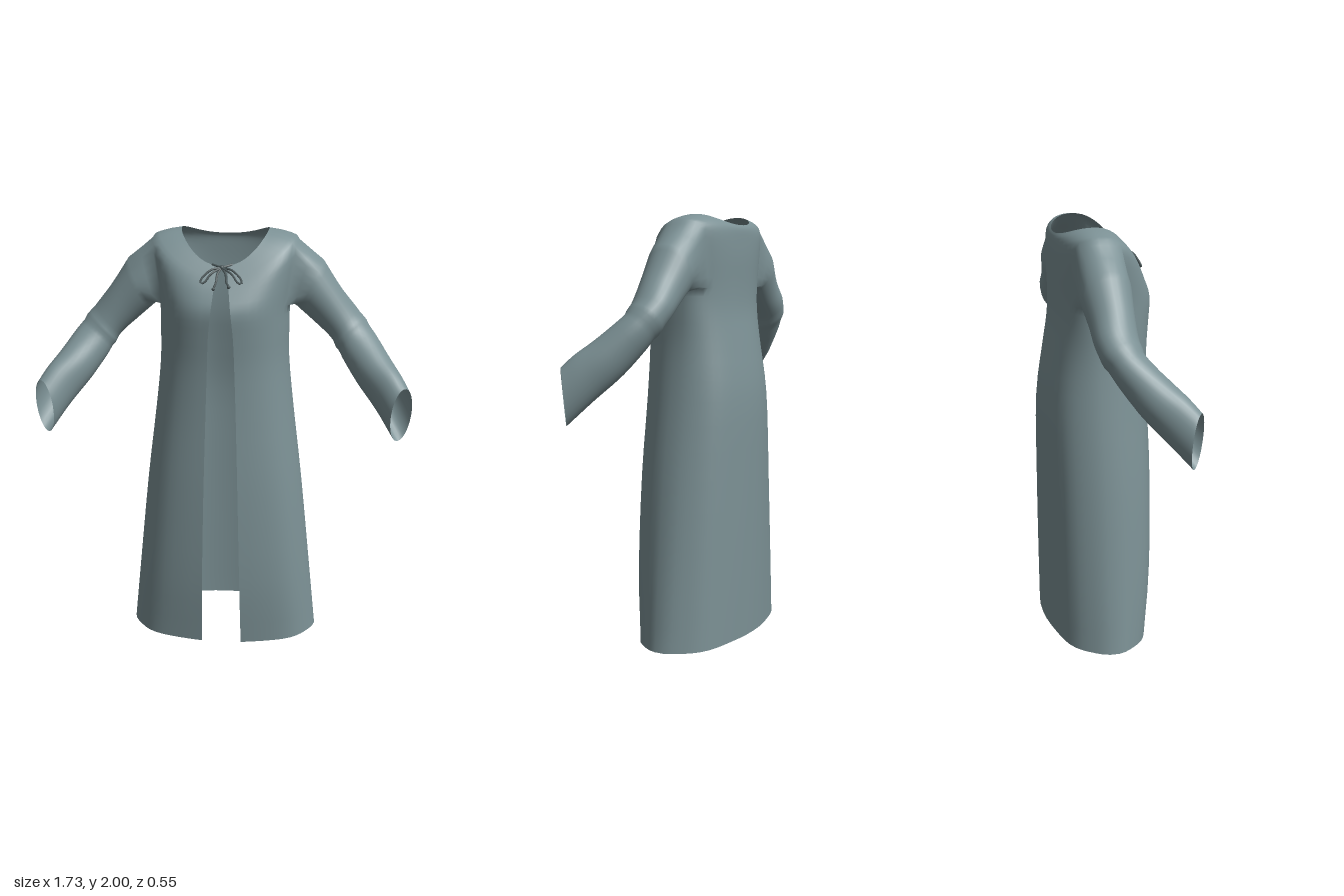
import * as THREE from 'three';

const v = (x, y, z) => new THREE.Vector3(x, y, z);
const spline = (pts) => new THREE.CatmullRomCurve3(pts.map((p) => v(...p)), false, 'catmullrom', 0.5);

// Coat body levels, hem to neckline: [yFront, ySide, yBack], [halfWidth, halfGap, zSide], [zFront, zBack, 0]
const LEVELS = [
  [[0.0, 0.01, 0.02], [0.455, 0.097, -0.01], [0.215, -0.27, 0]],
  [[0.35, 0.35, 0.35], [0.42, 0.09, -0.01], [0.248, -0.274, 0]],
  [[0.8, 0.8, 0.8], [0.372, 0.08, -0.01], [0.25, -0.277, 0]],
  [[1.16, 1.16, 1.16], [0.327, 0.07, -0.02], [0.235, -0.274, 0]],
  [[1.4, 1.4, 1.4], [0.302, 0.062, -0.03], [0.23, -0.24, 0]],
  [[1.55, 1.56, 1.55], [0.3, 0.056, -0.04], [0.238, -0.214, 0]],
  [[1.66, 1.67, 1.67], [0.302, 0.045, -0.05], [0.243, -0.208, 0]],
  [[1.73, 1.82, 1.8], [0.325, 0.037, -0.055], [0.215, -0.21, 0]],
  [[1.79, 1.95, 1.89], [0.338, 0.03, -0.06], [0.18, -0.207, 0]],
  [[1.83, 1.985, 1.935], [0.28, 0.026, -0.06], [0.155, -0.203, 0]],
  [[1.86, 2.0, 1.955], [0.2, 0.024, -0.06], [0.135, -0.193, 0]],
];

// Sleeve rings, shoulder to cuff: centre, upward half axis, rearward/outer half axis
const RINGS = [
  [[0.395, 1.75, -0.055], [0.055, 0.11, 0], [0, 0, -0.113]],
  [[0.475, 1.655, -0.05], [0.056, 0.083, 0], [0, 0, -0.1]],
  [[0.553, 1.57, -0.045], [0.057, 0.067, 0], [0.015, 0, -0.096]],
  [[0.61, 1.492, -0.012], [0.058, 0.064, 0.02], [0.045, 0, -0.08]],
  [[0.69, 1.38, 0.075], [0.043, 0.074, 0.045], [0.064, 0, -0.058]],
  [[0.76, 1.295, 0.155], [0.024, 0.1, 0.03], [0.057, 0, -0.046]],
  [[0.815, 1.215, 0.225], [0.004, 0.125, 0.01], [0.05, 0.01, -0.04]],
];

const COLS = 48, SUB = 3, ROWS = (LEVELS.length - 1) * SUB;
const HOLE = { r0: 18, r1: 24, c0: 9, c1: 17 }; // armhole cells on the left side
const SLEEVE_STEPS = 30;

// One continuous shell, so the sleeves blend into the body with shared normals
function buildCoat() {
  const pos = [], bodyIndex = [];
  const add = (p) => pos.push(p.x, p.y, p.z) / 3 - 1;
  const at = (r, c) => r * (COLS + 1) + c;
  const quad = (list, a, b, c, d, flip) =>
    flip ? list.push(a, c, b, a, d, c) : list.push(a, b, c, a, c, d);

  // Body, open down the front
  const [heights, widths, depths] = [0, 1, 2].map((n) => spline(LEVELS.map((l) => l[n])));
  const power = 0.88;
  for (let r = 0; r <= ROWS; r++) {
    const t = r / ROWS;
    const h = heights.getPoint(t), w = widths.getPoint(t), d = depths.getPoint(t);
    const start = Math.asin(Math.pow(w.y / w.x, 1 / power));
    const ripple = 0.012 * Math.max(0, 1 - t * 2);
    for (let c = 0; c <= COLS; c++) {
      const phi = start + (c / COLS) * (2 * Math.PI - 2 * start);
      const s = Math.sin(phi), k = Math.cos(phi);
      const fold = 1 + ripple * Math.cos(8 * phi);
      const sx = Math.sign(s) * Math.pow(Math.abs(s), power);
      const kz = Math.sign(k) * Math.pow(Math.abs(k), power);
      const reach = k > 0 ? d.x - w.z : w.z - d.y;
      const y = h.y * s * s + (k > 0 ? h.x : h.z) * k * k;
      add(v(w.x * sx * (c % COLS ? fold : 1), y, w.z + reach * kz * fold));
    }
  }
  const inHole = (r, c) => r >= HOLE.r0 && r < HOLE.r1 && c >= HOLE.c0 && c < HOLE.c1;
  for (let r = 0; r < ROWS; r++) {
    for (let c = 0; c < COLS; c++) {
      if (inHole(r, c) || inHole(r, COLS - 1 - c)) continue;
      quad(bodyIndex, at(r, c), at(r, c + 1), at(r + 1, c + 1), at(r + 1, c));
    }
  }

  // Armhole rim, from the top middle towards the back
  const rim = [];
  const { r0, r1, c0, c1 } = HOLE, mid = (c0 + c1) / 2;
  for (let c = mid; c < c1; c++) rim.push([r1, c]);
  for (let r = r1; r > r0; r--) rim.push([r, c1]);
  for (let c = c1; c > c0; c--) rim.push([r0, c]);
  for (let r = r0; r < r1; r++) rim.push([r, c0]);
  for (let c = c0; c < mid; c++) rim.push([r1, c]);

  // Sleeves grow out of the rims
  const [centre, up, side] = [0, 1, 2].map((n) => spline(RINGS.map((l) => l[n])));
  const sleeve = (sign) => {
    const index = [];
    const first = rim.map(([r, c]) => at(r, sign > 0 ? c : COLS - c));
    const ringPoint = (t, k) => {
      const a = (k / rim.length) * Math.PI * 2;
      const crease = 1 + 0.05 * Math.exp(-Math.pow((t - 0.42) / 0.025, 2))
        - 0.03 * Math.exp(-Math.pow((t - 0.48) / 0.03, 2));
      const p = centre.getPoint(t)
        .addScaledVector(up.getPoint(t), Math.cos(a) * crease)
        .addScaledVector(side.getPoint(t), Math.sin(a) * crease);
      p.x *= sign;
      return p;
    };
    let previous = first;
    for (let j = -1; j <= SLEEVE_STEPS; j++) {
      const ring = first.map((id, k) => {
        const p = ringPoint(Math.max(j, 0) / SLEEVE_STEPS, k);
        if (j < 0) p.lerp(v(pos[id * 3], pos[id * 3 + 1], pos[id * 3 + 2]), 0.5);
        return add(p);
      });
      ring.forEach((id, k) => {
        const n = (k + 1) % ring.length;
        quad(index, previous[k], id, ring[n], previous[n], sign < 0);
      });
      previous = ring;
    }
    return index;
  };
  const parts = { coatBody: bodyIndex, leftSleeve: sleeve(1), rightSleeve: sleeve(-1) };

  const whole = new THREE.BufferGeometry();
  whole.setAttribute('position', new THREE.Float32BufferAttribute(pos, 3));
  whole.setIndex(Object.values(parts).flat());
  whole.computeVertexNormals();
  return Object.entries(parts).map(([name, index]) => {
    const g = new THREE.BufferGeometry();
    g.setAttribute('position', whole.attributes.position);
    g.setAttribute('normal', whole.attributes.normal);
    g.setIndex(index);
    return [name, g];
  });
}

// Thin cord tied in a bow at the neck
function buildBow(material) {
  const bow = new THREE.Group();
  bow.name = 'neckBow';
  const mesh = (name, geometry) => {
    const m = new THREE.Mesh(geometry, material);
    m.name = name;
    bow.add(m);
    return m;
  };
  const cord = (name, pts) => mesh(name, new THREE.TubeGeometry(spline(pts), 20, 0.005, 6));
  cord('neckCord', [[-0.045, 1.866, 0.132], [0, 1.858, 0.15], [0.045, 1.866, 0.132]]);
  mesh('knot', new THREE.SphereGeometry(0.011, 10, 8)).position.set(0, 1.856, 0.153);
  for (const s of [1, -1]) {
    cord('bowLoop', [[0, 1.855, 0.153], [0.045, 1.848, 0.168], [0.085, 1.815, 0.186],
      [0.09, 1.792, 0.195], [0.07, 1.8, 0.192], [0.045, 1.832, 0.178], [0, 1.856, 0.155]]
      .map(([x, y, z]) => [x * s, y, z]));
    const drop = s > 0 ? 0.01 : 0;
    cord('bowTail', [[0, 1.855, 0.155], [0.018, 1.83, 0.172], [0.022, 1.8, 0.186], [0.034, 1.77 + drop, 0.198]]
      .map(([x, y, z]) => [x * s, y, z]));
    mesh('tailEnd', new THREE.SphereGeometry(0.008, 8, 6)).position.set(0.034 * s, 1.768 + drop, 0.198);
  }
  return bow;
}

export function createModel() {
  const cloth = new THREE.MeshStandardMaterial({ color: 0x7c9195, side: THREE.DoubleSide });
  cloth.name = 'greyBlueCloth';
  const cordMaterial = new THREE.MeshStandardMaterial({ color: 0x4a5759 });
  cordMaterial.name = 'darkCord';

  const model = new THREE.Group();
  model.name = 'coat';
  for (const [name, geometry] of buildCoat()) {
    const m = new THREE.Mesh(geometry, cloth);
    m.name = name;
    model.add(m);
  }
  model.add(buildBow(cordMaterial));
  return model;
}
